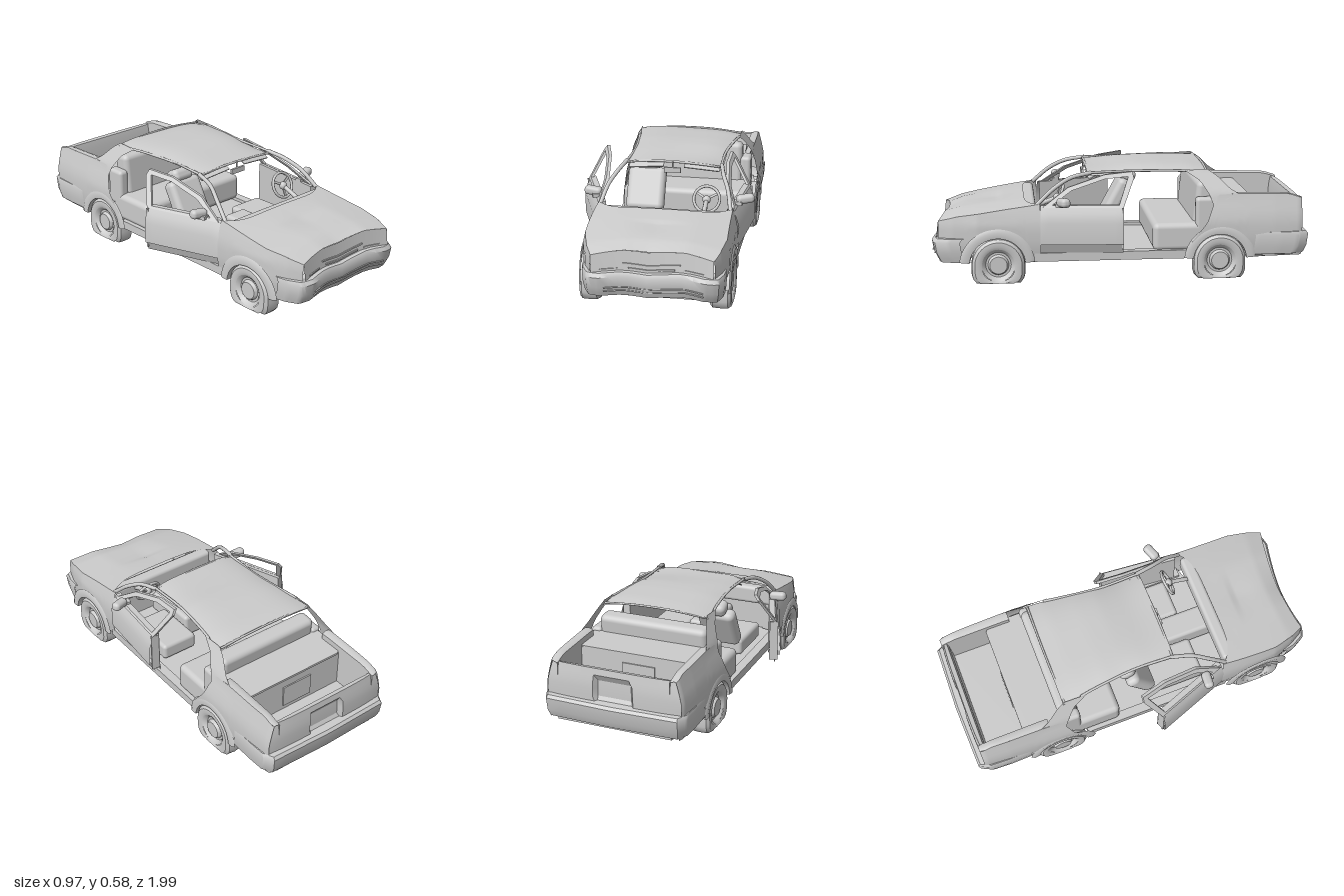
import * as THREE from 'three';
import { toCreasedNormals } from 'three/addons/utils/BufferGeometryUtils.js';
import { RoundedBoxGeometry } from 'three/addons/geometries/RoundedBoxGeometry.js';

const mat = new THREE.MeshStandardMaterial({ color: 0xcccccc, side: THREE.DoubleSide });
const V = (x, y, z) => new THREE.Vector3(x, y, z);

// piecewise-linear lookup in an ascending [key, value] table
function tab(t, pts) {
  if (t <= pts[0][0]) return pts[0][1];
  for (let i = 1; i < pts.length; i++) {
    const [a, va] = pts[i - 1], [b, vb] = pts[i];
    if (t <= b) return va + (vb - va) * (t - a) / (b - a);
  }
  return pts[pts.length - 1][1];
}
const path = (t, pts) => { // point at t = 0..1 along evenly indexed points
  const k = Math.min(t * (pts.length - 1), pts.length - 1.0001), i = Math.floor(k), f = k - i;
  return pts[i].map((v, j) => v + (pts[i + 1][j] - v) * f);
};

// body half width, shoulder curve and height rules
const halfWidth = z => tab(z, [[-.97, .355], [-.93, .372], [-.8, .38], [-.4, .388], [.4, .378], [.75, .375], [.87, .35], [.97, .31]]);
const sideX = (z, y) => halfWidth(z) * tab(y, [[.1, .955], [.2, 1], [.3, 1], [.36, .965], [.42, .92], [.46, .9]]);
const hoodY = z => tab(z, [[.43, .408], [.6, .385], [.85, .348], [.94, .322]]);
const deckY = z => tab(z, [[-.95, .415], [-.88, .437], [-.6, .445], [-.5, .44], [-.47, .38], [-.44, .3], [-.36, .2]]);
const archY = (z, c) => Math.abs(z - c) < .15 ? Math.max(.11, .095 + Math.sqrt(.15 ** 2 - (z - c) ** 2)) : .11;

// collision damage: the right corner is pushed in, the middle folds back, edges buckle
function crush(p) {
  const t = Math.max(0, (p.z - .5) / .47), a = Math.min(1, Math.abs(p.x) / .32), x = p.x;
  p.z += t * t * (.045 * a * a - .035 + .03 * x);
  p.y += t * (.035 * x + tab(x, [[-.32, .002], [-.14, .008], [0, -.008], [.18, .01], [.34, -.01]]));
  p.x += t * t * (x < 0 ? .045 * a : .012 * a);
  return p;
}

export function createModel() {
  const root = new THREE.Group(), car = new THREE.Group();
  root.name = 'wreckedSedan';
  car.name = 'body';
  car.position.x = .05;
  root.add(car);

  const add = (name, geo, pos = [0, 0, 0], rot = [0, 0, 0], parent = car) => {
    const m = new THREE.Mesh(geo, mat);
    m.name = name;
    m.position.set(...pos);
    m.rotation.set(...rot);
    parent.add(m);
    return m;
  };
  const box = (name, w, h, d, pos, rot, parent) => add(name, new THREE.BoxGeometry(w, h, d), pos, rot, parent);
  const soft = (name, w, h, d, pos, rot, r = .02, parent = car) => add(name, new RoundedBoxGeometry(w, h, d, 3, r), pos, rot, parent);
  const surf = (name, nu, nv, f, crease = .7) => {
    const g = new THREE.PlaneGeometry(1, 1, nu, nv), p = g.attributes.position;
    for (let i = 0; i < p.count; i++) {
      const q = f(p.getX(i) + .5, p.getY(i) + .5);
      p.setXYZ(i, q.x, q.y, q.z);
    }
    return add(name, toCreasedNormals(g, crease));
  };
  const tube = (name, pts, r) => add(name, new THREE.TubeGeometry(new THREE.CatmullRomCurve3(pts), 16, r, 8));

  // hood, nose and front bumper
  surf('hood', 24, 24, (u, v) => {
    const s = 2 * u - 1, z0 = .43 + .08 * (1 - s ** 6), z = z0 + (.94 - z0) * v, y = hoodY(z);
    const fold = v > .3 ? -.008 * Math.max(0, 1 - Math.abs(s) * 2.2) * Math.sin(v * 6) : 0;
    return crush(V(s * sideX(z, y), y + .016 * (1 - s * s) + fold, z));
  });
  surf('noseFascia', 24, 6, (u, v) => {
    const s = 2 * u - 1, z = .94 + .015 * v, y = hoodY(.94) + .016 * (1 - s * s);
    return crush(V(s * sideX(.94, .325), y + (.2 - y) * v, z));
  });
  const bumper = (name, way, pts, profile, bend) => surf(name, 40, profile.length - 1, (u, v) => {
    const [x, z] = path(u, pts), [o, y] = path(v, profile);
    return bend(V(x * (1 + o), y, z + way * o));
  });
  bumper('frontBumper', 1, [[-.362, .81], [-.357, .87], [-.335, .93], [-.27, .96], [0, .965], [.27, .96], [.335, .93], [.357, .87], [.362, .81]],
    [[-.05, .238], [.012, .234], [.025, .214], [.017, .16], [.005, .13], [-.005, .108], [-.06, .105]], crush);
  bumper('rearBumper', -1, [[-.372, -.67], [-.375, -.8], [-.372, -.9], [-.345, -.955], [0, -.965], [.345, -.955], [.372, -.9], [.375, -.8], [.372, -.67]],
    [[-.03, .245], [.018, .24], [.03, .225], [.022, .16], [.005, .122], [-.04, .115]], p => p);
  // bumper slot, grille and lamp edges bent with the nose
  const strip = (name, x0, x1, y, z, h, d) => {
    const g = new THREE.BoxGeometry(x1 - x0, h, d, 12, 1, 1), p = g.attributes.position;
    for (let i = 0; i < p.count; i++) {
      const q = crush(V(p.getX(i) + (x0 + x1) / 2, p.getY(i) + y, p.getZ(i) + z));
      p.setXYZ(i, q.x, q.y, q.z);
    }
    add(name, toCreasedNormals(g, .5));
  };
  strip('bumperSlotTop', -.25, .27, .158, .979, .006, .012);
  strip('bumperSlotBottom', -.25, .27, .138, .971, .006, .012);
  strip('grilleTop', -.14, .16, .27, .947, .008, .014);
  strip('grilleBottom', -.11, .13, .248, .95, .008, .014);
  for (const s of [-1, 1]) strip('headlampEdge', s > 0 ? .17 : -.27, s > 0 ? .27 : -.17, .245, .948, .006, .014);

  // side panels, pillars, wheel arches
  for (const s of [-1, 1]) {
    surf('frontFender', 50, 8, (u, v) => {
      const z = .43 + .51 * u, b = archY(z, .65), y = b + (hoodY(z) - b) * v;
      return crush(V(s * sideX(z, y), y, z));
    });
    surf('rearQuarter', 56, 8, (u, v) => {
      const z = -.36 - .59 * u, b = archY(z, -.51), y = b + (deckY(z) - b) * v;
      return V(s * sideX(z, y), y, z);
    });
    surf('deckRail', 14, 3, (u, v) => {
      const z = -.56 - .39 * u, y = deckY(z);
      const [x, h] = path(v, [[sideX(z, y), y], [.325, y + .004], [.302, y - .005], [.302, .2]]);
      return V(s * x, h, z);
    });
    surf('rearPillar', 6, 10, (u, v) => {
      const a = path(v, [[-.475, .385], [-.455, .44], [-.41, .51], [-.33, .562]]);
      const b = path(v, [[-.61, .443], [-.56, .475], [-.5, .535], [-.45, .568]]);
      const z = a[0] + (b[0] - a[0]) * u, y = a[1] + (b[1] - a[1]) * u;
      return V(s * tab(y, [[.38, .365], [.445, .348], [.565, .29]]), y, z);
    });
    tube('windscreenPillar', [V(s * .34, .4, .45), V(s * .315, .48, .36), V(s * .28, .53, .27), V(s * .255, .552, .16)], .011);
    tube('roofRail', [V(s * .254, .552, .165), V(s * .25, .557, -.05), V(s * .275, .56, -.28), V(s * .288, .558, -.36)], .007);
    box('sill', .05, .045, .82, [s * .345, .13, .05]);
    for (const c of [.65, -.51]) {
      // arch lip and inner liner
      surf('wheelArch', 24, 3, (u, v) => {
        const a = Math.PI * (.03 + .94 * u), [r, x] = path(v, [[.19, .38], [.172, .39], [.141, .386], [.141, .22]]);
        const p = V(s * x, .095 + r * Math.sin(a), c + r * Math.cos(a));
        return c > 0 ? crush(p) : p;
      });
    }
  }

  // dented roof skin
  surf('roof', 16, 20, (u, v) => {
    const z = .18 - .64 * v, k = 2 * u - 1;
    const x = k * tab(z, [[-.46, .298], [-.35, .285], [-.1, .255], [.18, .262]]);
    const y = tab(z, [[-.46, .574], [-.2, .584], [0, .58], [.18, .565]]);
    return V(x, y - .022 * k ** 4 - .008 * Math.max(0, Math.sin(z * 11 + 1)) * (1 + k), z);
  });
  tube('windscreenHeader', [V(-.255, .546, .17), V(-.1, .56, .175), V(.1, .556, .175), V(.255, .542, .17)], .007);
  tube('rearWindowHeader', [V(-.285, .553, -.45), V(-.1, .569, -.455), V(.1, .569, -.455), V(.285, .553, -.45)], .006);

  // tail panel with plate recess, and open boot
  surf('tailPanel', 40, 10, (u, v) => {
    const [z, y] = path(v, [[-.955, .22], [-.958, .33], [-.945, .415], [-.915, .41], [-.905, .2]]), s = 2 * u - 1;
    const recess = Math.abs(s) < .26 && v > .09 && v < .35 ? .025 : 0;
    return V(s * sideX(-.95, y), y, z + recess + .012 * s ** 4 * (v < .6 ? 1 : 0));
  }, .5);
  box('bootFloor', .61, .01, .23, [0, .2, -.8]);
  box('bootFrontWall', .61, .2, .01, [0, .3, -.69]);
  box('bootHatch', .18, .12, .012, [-.02, .29, -.696]);
  // parcel shelf with rounded rear corners
  const shelf = new THREE.Shape([[-.33, .46], [-.33, .66], [-.29, .7], [.29, .7], [.33, .66], [.33, .46]].map(q => new THREE.Vector2(...q)));
  add('parcelShelf', new THREE.ExtrudeGeometry(shelf, { depth: .012, bevelEnabled: false }), [0, .395, 0], [-Math.PI / 2, 0, 0]);

  // floor pan notched for the wheels
  const half = [[.31, -.95], [.36, -.7], [.25, -.66], [.25, -.36], [.36, -.33], [.36, .47], [.25, .5], [.25, .8], [.32, .83], [.25, .92]];
  const pan = new THREE.Shape([...half, ...half.map(([x, z]) => [-x, z]).reverse()].map(([x, z]) => new THREE.Vector2(x, -z)));
  add('floorPan', new THREE.ExtrudeGeometry(pan, { depth: .03, bevelEnabled: false }), [0, .105, 0], [-Math.PI / 2, 0, 0]);
  box('firewall', .66, .27, .015, [0, .25, .52]);

  // cabin
  soft('dashboard', .64, .1, .07, [0, .35, .485]);
  soft('centreConsole', .14, .13, .34, [0, .2, .33]);
  for (const s of [-1, 1]) soft('frontSeatCushion', .21, .09, .3, [s * .185, .19, .2]);
  soft('frontSeatBack', .21, .24, .08, [-.185, .335, -.01], [-.5, 0, 0], .03);
  soft('headrest', .13, .07, .09, [-.185, .463, -.075], [-.45, 0, 0], .028);
  soft('rearSeatCushion', .7, .15, .3, [0, .215, -.31], undefined, .03);
  soft('rearSeatBack', .6, .29, .1, [0, .355, -.435], [-.1, 0, 0], .03);
  for (const s of [-1, 1]) soft('rearSeatSide', .06, .2, .11, [s * .32, .325, -.44], undefined, .02);
  add('steeringWheel', new THREE.TorusGeometry(.068, .008, 8, 28), [.2, .415, .33], [-.42, 0, 0]);
  add('steeringHub', new THREE.SphereGeometry(.022, 12, 8), [.2, .413, .335]);
  for (const a of [0, 2.1, -2.1]) {
    box('steeringSpoke', .012, .066, .008, [.2 + Math.sin(a) * .034, .415 - Math.cos(a) * .031, .33 + Math.cos(a) * .014], [-.42, 0, a]);
  }
  tube('steeringColumn', [V(.2, .413, .335), V(.2, .385, .41), V(.2, .35, .49)], .012);
  box('rearViewMirror', .09, .028, .012, [-.005, .518, .19]);
  box('mirrorStem', .006, .035, .006, [-.005, .545, .185]);
  for (const s of [-1, 1]) box('sunVisor', .19, .006, .055, [s * .15, .536, .15], [.5, 0, s * -.1]);

  // front doors hung on their hinges: right one wide open, left one ajar
  for (const [s, angle] of [[-1, .35], [1, .085]]) {
    const door = new THREE.Group();
    door.name = s > 0 ? 'leftFrontDoor' : 'rightFrontDoor';
    door.position.set(s * (s > 0 ? .37 : .365), 0, .43);
    door.rotation.y = -s * angle;
    car.add(door);
    const panel = surf('doorPanel', 10, 7, (u, v) => {
      const [x, y] = path(v, [[-.02, .15], [0, .2], [.012, .2], [.012, .31], [-.002, .36], [-.022, .4], [-.05, .4], [-.05, .15]]);
      return V(s * x, y, -.43 * u);
    }, .5);
    door.add(panel);
    box('doorEnd', .045, .22, .01, [s * -.025, .28, -.425], undefined, door);
    const ring = pts => pts.map(([z, y]) => new THREE.Vector2(z, y));
    const frame = new THREE.Shape(ring([[-.01, .39], [-.14, .485], [-.33, .545], [-.475, .56], [-.485, .53], [-.43, .39]]));
    frame.holes.push(new THREE.Path(ring([[-.06, .402], [-.16, .47], [-.33, .524], [-.455, .537], [-.407, .402]])));
    const g = new THREE.ExtrudeGeometry(frame, { depth: .016, bevelEnabled: false }).rotateY(-Math.PI / 2);
    const p = g.attributes.position;
    for (let i = 0; i < p.count; i++) p.setX(i, p.getX(i) - s * (.025 + (p.getY(i) - .4) * .65) + .008);
    g.computeVertexNormals();
    add('windowFrame', g, undefined, undefined, door);
    soft('sideMirror', .095, .048, .05, [s * (s > 0 ? .02 : 0), .423, -.12], [0, s * .45, s * .1], .02, door);
    box('mirrorArm', .06, .02, .04, [s * -.02, .405, -.1], undefined, door);
  }

  // flat tyres, rims and axles
  const tyre = [[.085, .048], [.1, .054], [.122, .052], [.136, .038], [.14, 0], [.136, -.038], [.122, -.052], [.085, -.048]];
  const rim = [[0, .046], [.045, .046], [.05, .04], [.054, .028], [.066, .028], [.072, .038], [.086, .048]];
  const lathe = pts => toCreasedNormals(new THREE.LatheGeometry(pts.map(q => new THREE.Vector2(...q)), 32).rotateZ(-Math.PI / 2), .6);
  for (const c of [.65, -.51]) {
    for (const s of [-1, 1]) {
      const wheel = new THREE.Group();
      wheel.name = 'wheel';
      wheel.position.set(s * .332 + .004, .095, c);
      wheel.rotation.y = s > 0 ? 0 : Math.PI;
      car.add(wheel);
      const g = lathe(tyre), p = g.attributes.position;
      for (let i = 0; i < p.count; i++) { // squash the lower part onto the ground
        const y = p.getY(i), z = p.getZ(i);
        if (y < -.02) p.setZ(i, z * (1 + Math.min(.18, (-.02 - y) * 2.5)));
        p.setY(i, Math.max(y, -.095));
      }
      add('tyre', toCreasedNormals(g, .6), undefined, undefined, wheel);
      add('rim', lathe(rim), undefined, undefined, wheel);
      add('innerDisc', new THREE.CylinderGeometry(.088, .088, .01, 24), [-.043, 0, 0], [0, 0, Math.PI / 2], wheel);
    }
    add('axle', new THREE.CylinderGeometry(.014, .014, .62, 12), [0, .09, c], [0, 0, Math.PI / 2]);
    add('differential', new THREE.SphereGeometry(.06, 10, 8), [0, .09, c]).scale.set(1, .72, .8);
  }
  return root;
}
